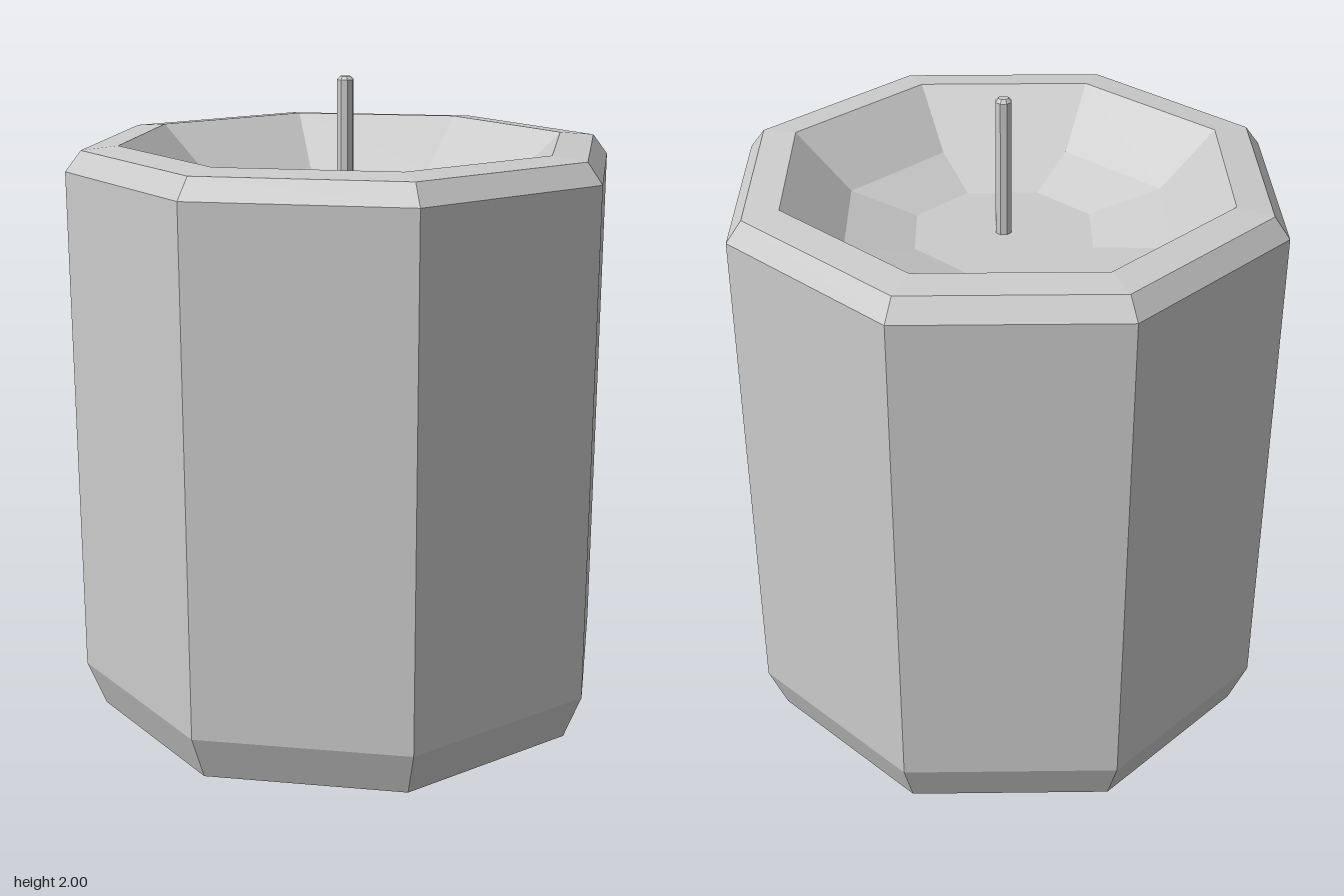
import * as THREE from 'three';

const SIDES = 8;
const WICK = { x: 0.03, z: 0.05 };
const FLOOR_Y = 1.58;

function lathe(name, points, material) {
  const profile = points.map(([r, y]) => new THREE.Vector2(r, y));
  const mesh = new THREE.Mesh(new THREE.LatheGeometry(profile, SIDES), material);
  mesh.name = name;
  return mesh;
}

export function createModel() {
  const group = new THREE.Group();
  group.name = 'candle';
  const material = new THREE.MeshStandardMaterial({ color: 0xcccccc, flatShading: true });

  // Octagonal wax body: bevelled base, straight sides, rim and melted hollow
  const body = lathe('waxBody', [
    [0, 0], [0.645, 0], [0.775, 0.06], [0.83, 0.2], [0.83, 1.74],
    [0.783, 1.8], [0.675, 1.81], [0.5, 1.65], [0.28, FLOOR_Y], [0, FLOOR_Y],
  ], material);

  // The floor of the hollow is centred on the wick
  const pos = body.geometry.attributes.position;
  for (let i = 0; i < pos.count; i++) {
    if (Math.abs(pos.getY(i) - FLOOR_Y) < 0.001) {
      pos.setX(i, pos.getX(i) + WICK.x);
      pos.setZ(i, pos.getZ(i) + WICK.z);
    }
  }
  body.geometry.computeVertexNormals();
  group.add(body);

  // Thin wick with a small bevel at the tip
  const wick = lathe('wick', [
    [0, FLOOR_Y - 0.02], [0.025, FLOOR_Y - 0.02], [0.025, 1.99], [0.015, 2], [0, 2],
  ], material);
  wick.position.set(WICK.x, 0, WICK.z);
  group.add(wick);

  return group;
}
